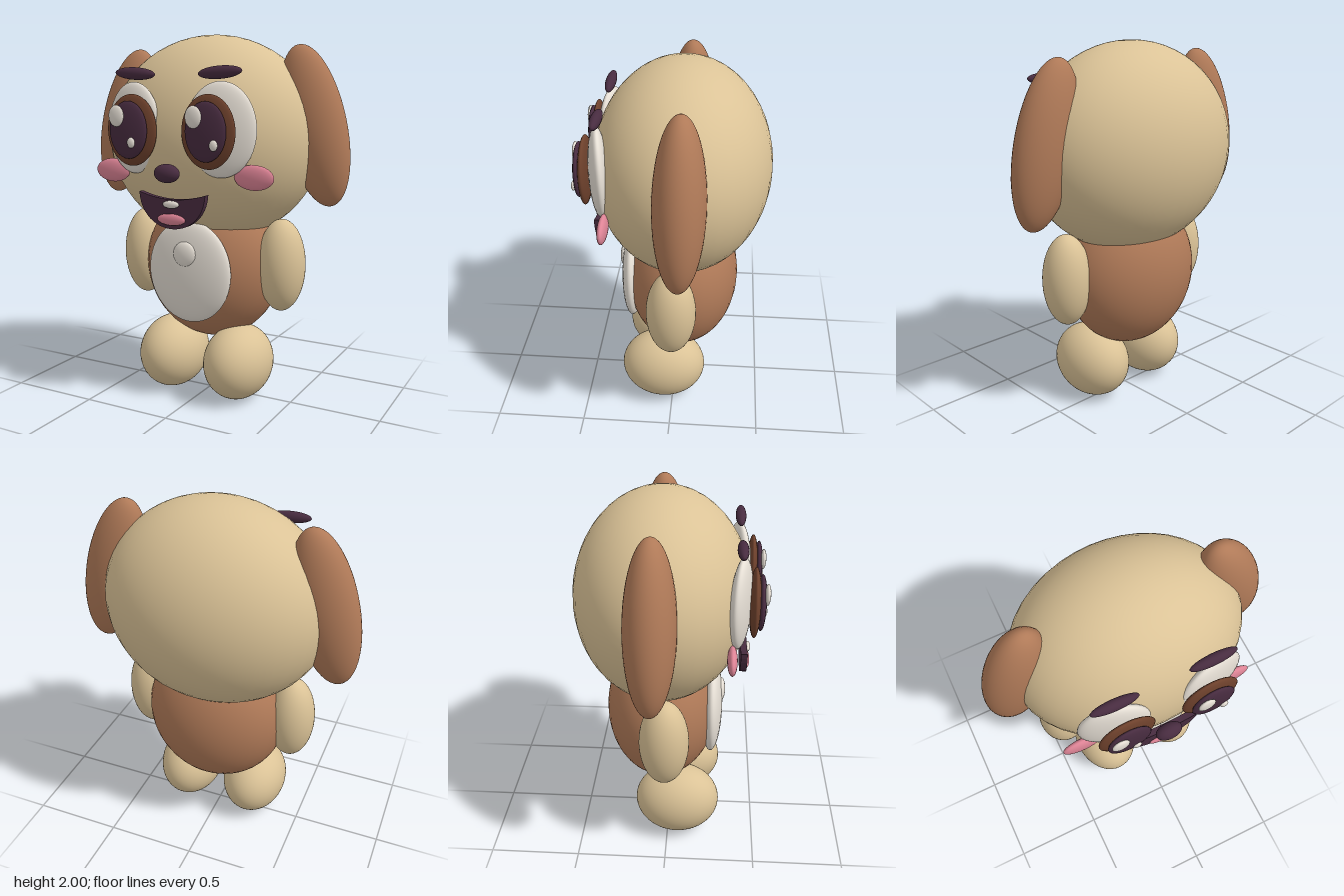
import * as THREE from 'three';

const mat = (name, color) => {
  const m = new THREE.MeshStandardMaterial({ color });
  m.name = name;
  return m;
};

export function createModel() {
  const tan = mat('tan fur', 0xdbc397);
  const brown = mat('brown fur', 0xb07a58);
  const white = mat('off white', 0xe6dfd5);
  const plum = mat('dark plum', 0x482c40);
  const iris = mat('iris brown', 0x6e412c);
  const pink = mat('pink', 0xde8496);

  const model = new THREE.Group();
  model.name = 'puppy';

  // every soft part is a scaled sphere
  const big = new THREE.SphereGeometry(1, 40, 28);
  const small = new THREE.SphereGeometry(1, 24, 16);
  const blob = (name, material, pos, size, rot = [0, 0, 0]) => {
    const mesh = new THREE.Mesh(Math.max(...size) > 0.15 ? big : small, material);
    mesh.name = name;
    mesh.position.set(...pos);
    mesh.scale.set(...size);
    mesh.rotation.set(...rot);
    model.add(mesh);
  };
  // mirrored pair; the first is on the model's left (+x)
  const pair = (name, material, [x, y, z], size, [rx, ry, rz] = [0, 0, 0]) => {
    for (const s of [1, -1]) {
      blob((s > 0 ? 'left' : 'right') + name, material, [s * x, y, z], size, [rx, s * ry, s * rz]);
    }
  };

  // head and body
  blob('head', tan, [0, 1.44, -0.04], [0.617, 0.56, 0.47]);
  blob('body', brown, [0, 0.74, -0.04], [0.4, 0.425, 0.315]);
  blob('belly', white, [0, 0.74, 0.24], [0.248, 0.28, 0.062]);
  blob('bellyButton', white, [0, 0.842, 0.29], [0.069, 0.069, 0.025]);

  // limbs and ears
  pair('Arm', tan, [0.43, 0.772, -0.007], [0.13, 0.252, 0.133]);
  pair('Foot', tan, [0.207, 0.212, 0.055], [0.185, 0.208, 0.24]);
  pair('Ear', brown, [0.583, 1.52, -0.06], [0.168, 0.428, 0.128], [0, 0, 0.242]);

  // eyes, brows and cheeks
  pair('EyeWhite', white, [0.255, 1.508, 0.368], [0.183, 0.237, 0.05], [0, 0.2, 0]);
  pair('Iris', iris, [0.222, 1.5, 0.438], [0.149, 0.183, 0.03]);
  pair('Pupil', plum, [0.224, 1.502, 0.47], [0.114, 0.147, 0.025]);
  pair('Brow', plum, [0.247, 1.787, 0.365], [0.122, 0.032, 0.028], [0, 0, 0.06]);
  pair('Cheek', pink, [0.42, 1.277, 0.332], [0.108, 0.063, 0.026]);
  for (const [side, bx, sx] of [['left', 0.17, 0.28], ['right', -0.28, -0.193]]) {
    blob(side + 'LargeGlint', white, [bx, 1.573, 0.494], [0.045, 0.055, 0.015]);
    blob(side + 'SmallGlint', white, [sx, 1.439, 0.492], [0.022, 0.027, 0.012]);
  }

  // nose
  blob('nose', plum, [0, 1.29, 0.463], [0.072, 0.048, 0.042]);

  // open mouth: a flat crescent with a tooth and a tongue
  const shape = new THREE.Shape();
  shape.moveTo(0.195, 1.185);
  shape.quadraticCurveTo(0, 1.12, -0.195, 1.185);
  shape.bezierCurveTo(-0.18, 0.938, 0.18, 0.938, 0.195, 1.185);
  const mouth = new THREE.Mesh(
    new THREE.ExtrudeGeometry(shape, { depth: 0.035, bevelEnabled: false, curveSegments: 24 }), plum);
  mouth.name = 'mouth';
  mouth.position.z = 0.385;
  model.add(mouth);
  blob('tooth', white, [0, 1.128, 0.427], [0.048, 0.02, 0.014]);
  blob('tongue', pink, [0, 1.05, 0.425], [0.083, 0.03, 0.015]);

  return model;
}
